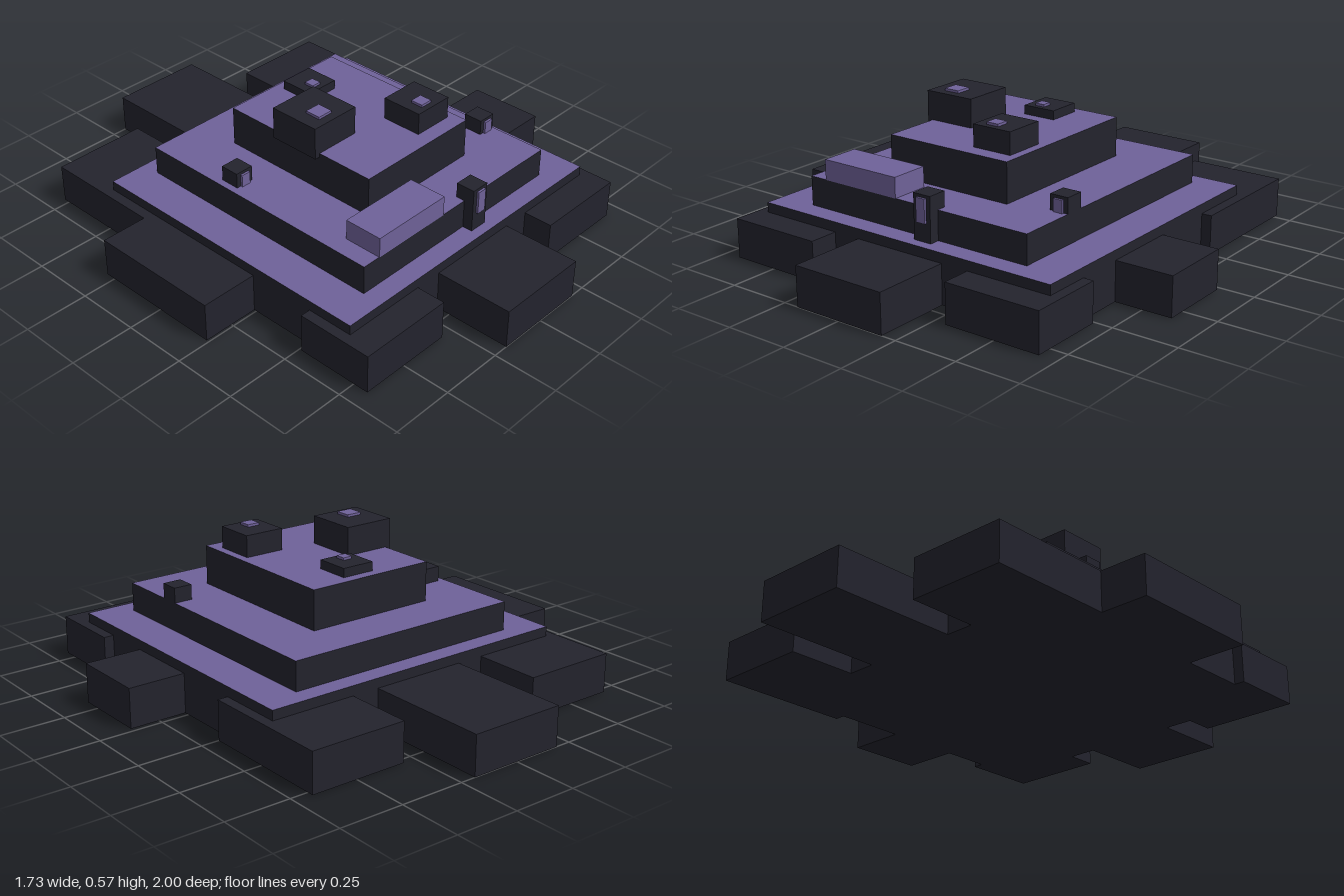
import * as THREE from 'three';

export function createModel() {
  const model = new THREE.Group();
  model.name = 'steppedFortress';
  const dark = new THREE.MeshStandardMaterial({ color: 0x23232d });
  dark.name = 'charcoal';
  const purple = new THREE.MeshStandardMaterial({ color: 0x6f6299 });
  purple.name = 'dustyPurple';
  // face order of a box: +x, -x, +y, -y, +z, -z
  const purpleTop = [dark, dark, purple, dark, dark, dark];

  // Box given by its limits on each axis
  function block(name, [x0, x1], [y0, y1], [z0, z1], material, parent = model) {
    const mesh = new THREE.Mesh(new THREE.BoxGeometry(x1 - x0, y1 - y0, z1 - z0), material);
    mesh.position.set((x0 + x1) / 2, (y0 + y1) / 2, (z0 + z1) / 2);
    mesh.name = name;
    parent.add(mesh);
    return mesh;
  }

  // Ground slabs around the base
  const slabY = [0, 0.152];
  block('backSlab', [-0.19, 0.19], slabY, [-1, -0.48], dark);
  block('frontSlab', [-0.19, 0.19], slabY, [0.48, 1], dark);
  block('rightSlab', [-0.865, -0.5], slabY, [-0.29, 0.24], dark);
  block('leftSlab', [0.5, 0.865], slabY, [0.02, 0.32], dark);
  for (const [side, x] of [['right', [-0.68, -0.3]], ['left', [0.3, 0.68]]]) {
    block(side + 'BackSlab', x, slabY, [-0.775, -0.25], dark);
    block(side + 'FrontSlab', x, slabY, [0.51, 0.81], dark);
  }

  // Three terraces with painted decks
  block('lowerTerrace', [-0.64, 0.64], [0, 0.19], [-0.51, 0.695], purpleTop);
  block('middleTerrace', [-0.487, 0.487], [0.19, 0.302], [-0.435, 0.615], purpleTop);
  block('upperTerrace', [-0.263, 0.263], [0.302, 0.455], [-0.245, 0.43], purpleTop);
  block('raisedPlatform', [-0.413, -0.08], [0.302, 0.38], [0.465, 0.617], purple);

  // Roof boxes, each with a small hatch
  const roofBoxes = [
    [[-0.285, -0.08], [0.44, 0.565], [-0.01, 0.197], [-0.23, -0.167], [0.1, 0.163]],
    [[0.068, 0.23], [0.44, 0.54], [0.205, 0.368], [0.11, 0.16], [0.295, 0.345]],
    [[-0.037, 0.097], [0.44, 0.49], [-0.205, -0.07], [0, 0.038], [-0.13, -0.09]],
  ];
  for (const [x, y, z, hatchX, hatchZ] of roofBoxes) {
    const roofBox = new THREE.Group();
    roofBox.name = 'roofBox';
    model.add(roofBox);
    block('roofBoxBody', x, y, z, dark, roofBox);
    block('roofHatch', hatchX, [y[1], y[1] + 0.0095], hatchZ, purple, roofBox);
  }

  // Entrance booths with a door on the front
  for (const [x, z] of [[0.073, 0.617], [0.45, 0.347], [-0.423, -0.06]]) {
    const booth = new THREE.Group();
    booth.name = 'entranceBooth';
    model.add(booth);
    block('boothBody', [x - 0.037, x + 0.037], [0.19, 0.361], [z - 0.038, z + 0.038], dark, booth);
    block('boothDoor', [x - 0.019, x + 0.019], [0.26, 0.35], [z + 0.038, z + 0.047], purple, booth);
  }
  return model;
}
